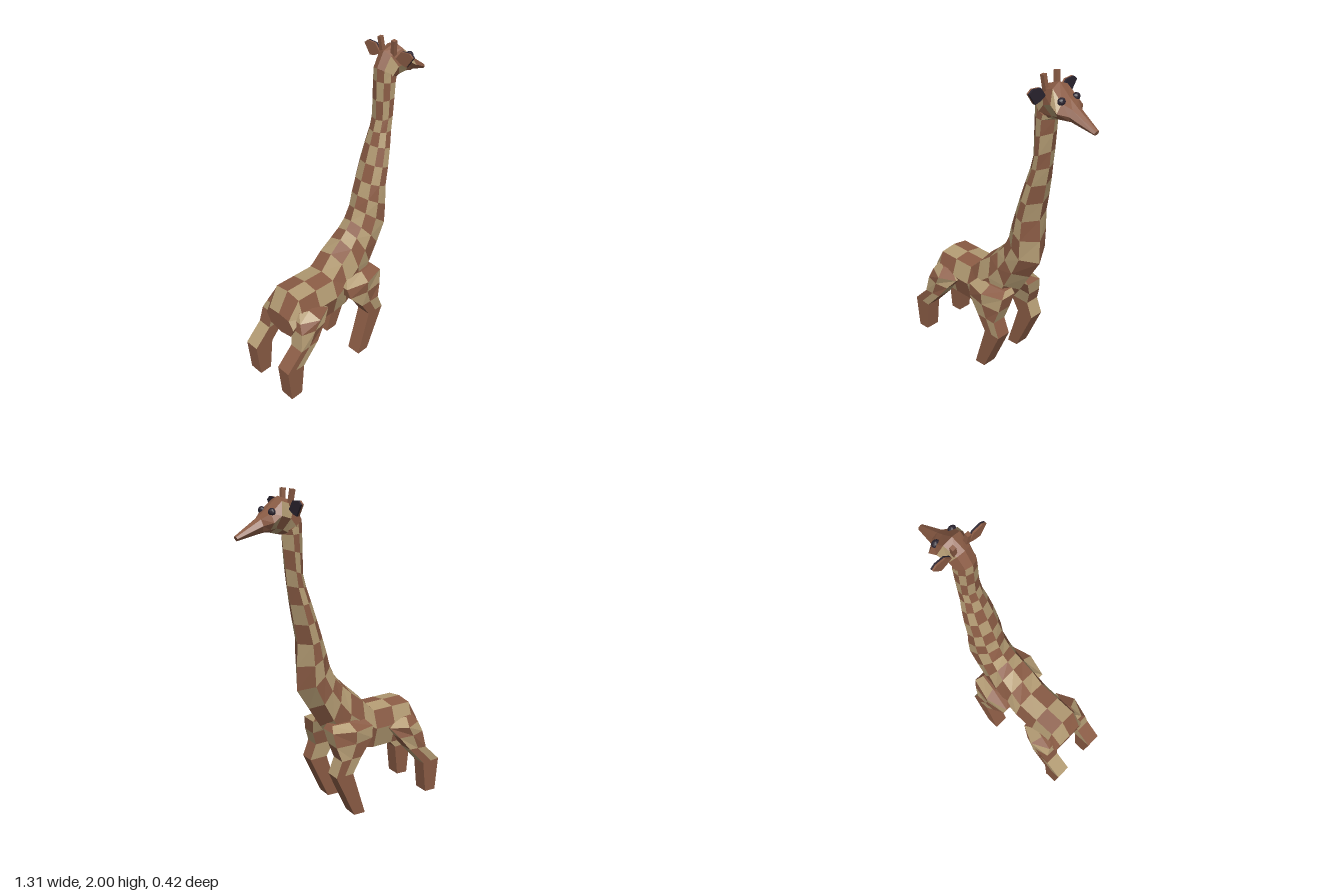
import * as THREE from 'three';

const mat = (color) => new THREE.MeshStandardMaterial({ color, flatShading: true });
const brown = mat(0x8b5c45), tan = mat(0xb39b73), dark = mat(0x2b2430);

// Skin a list of closed rings; isTan(i, j) chooses the colour of each patch.
function patchwork(name, rings, isTan, flip = false) {
  const faces = { Brown: [], Tan: [] };
  const tri = (list, a, b, c) => {
    for (const p of flip ? [a, c, b] : [a, b, c]) list.push(p.x, p.y, p.z);
  };
  const n = rings[0].length;
  for (let i = 0; i < rings.length - 1; i++) {
    for (let j = 0; j < n; j++) {
      const k = (j + 1) % n, list = isTan(i, j) ? faces.Tan : faces.Brown;
      const a = rings[i][j], b = rings[i][k], c = rings[i + 1][k], d = rings[i + 1][j];
      tri(list, a, b, c);
      tri(list, a, c, d);
    }
  }
  // end caps
  const first = rings[0], last = rings[rings.length - 1];
  for (let j = 1; j < n - 1; j++) {
    tri(faces.Brown, first[0], first[j + 1], first[j]);
    tri(faces.Brown, last[0], last[j], last[j + 1]);
  }
  const group = new THREE.Group();
  group.name = name;
  for (const key of ['Brown', 'Tan']) {
    if (!faces[key].length) continue;
    const g = new THREE.BufferGeometry();
    g.setAttribute('position', new THREE.Float32BufferAttribute(faces[key], 3));
    g.computeVertexNormals();
    const mesh = new THREE.Mesh(g, key === 'Tan' ? tan : brown);
    mesh.name = name + key + 'Patches';
    group.add(mesh);
  }
  return group;
}

// Eight-sided section between a top and a bottom point; profile = [depth, width] of one side.
function section([tx, ty, bx, by, w], profile) {
  const at = ([t, s], side) =>
    new THREE.Vector3(tx + (bx - tx) * t, ty + (by - ty) * t, side * s * w);
  return [
    at([0, 0], 1), ...profile.map((p) => at(p, 1)),
    at([1, 0], 1), ...[...profile].reverse().map((p) => at(p, -1)),
  ];
}

const bodyProfile = [[0.05, 0.72], [0.42, 1], [0.87, 0.75]];
const neckProfile = [[0.12, 0.62], [0.38, 0.95], [0.7, 1]];
const headProfile = [[0.12, 0.62], [0.5, 1], [0.85, 0.6]];

// Each row: top x, top y, bottom x, bottom y, half width
const trunk = [
  [-0.55, 0.51, -0.54, 0.36, 0.125], [-0.475, 0.64, -0.48, 0.34, 0.14],
  [-0.34, 0.64, -0.34, 0.34, 0.14], [-0.2, 0.64, -0.2, 0.34, 0.14],
  [-0.12, 0.73, -0.1, 0.34, 0.14], [-0.04, 0.8, 0.03, 0.42, 0.135],
  [0.01, 0.85, 0.13, 0.56, 0.125], [0.05, 0.9, 0.21, 0.69, 0.12],
  [0.08, 0.98, 0.29, 0.82, 0.115], [0.105, 1.06, 0.287, 0.97, 0.115],
  [0.135, 1.15, 0.282, 1.11, 0.107], [0.17, 1.26, 0.302, 1.23, 0.1],
  [0.205, 1.37, 0.323, 1.35, 0.087], [0.23, 1.45, 0.342, 1.46, 0.072],
  [0.25, 1.52, 0.35, 1.56, 0.07], [0.25, 1.64, 0.362, 1.67, 0.07],
  [0.25, 1.76, 0.37, 1.75, 0.07], [0.25, 1.84, 0.38, 1.76, 0.068],
];
const skull = [
  [0.25, 1.84, 0.37, 1.75, 0.068], [0.3, 1.93, 0.4, 1.755, 0.075],
  [0.39, 1.96, 0.44, 1.765, 0.095], [0.465, 1.89, 0.47, 1.77, 0.105],
  [0.51, 1.855, 0.5, 1.765, 0.052], [0.65, 1.762, 0.64, 1.735, 0.02],
];

// Each row: back x, back y, front x, front y, inner z, outer z, outer bulge
const frontLegRows = [
  [-0.07, 0, 0.01, 0.005, 0.105, 0.2, 0], [0.02, 0.29, 0.14, 0.29, 0.105, 0.2, 0],
  [-0.04, 0.39, 0.1, 0.39, 0.105, 0.2, 0], [-0.13, 0.49, 0.13, 0.48, 0.09, 0.185, 0.02],
  [-0.145, 0.56, 0.145, 0.57, 0.06, 0.17, 0.04], [-0.1, 0.61, 0.12, 0.6, 0.06, 0.12, 0.02],
];
const hindLegRows = [
  [-0.64, 0, -0.56, 0.005, 0.105, 0.2, 0], [-0.66, 0.22, -0.535, 0.215, 0.105, 0.2, 0],
  [-0.55, 0.33, -0.42, 0.34, 0.105, 0.2, 0], [-0.53, 0.44, -0.35, 0.43, 0.09, 0.185, 0.02],
  [-0.515, 0.5, -0.29, 0.5, 0.06, 0.155, 0.055], [-0.49, 0.55, -0.37, 0.54, 0.06, 0.12, 0.02],
];

function leg(name, rows, side) {
  const rings = rows.map(([xb, yb, xf, yf, zi, zo, bulge]) => [
    [xb, yb, zo], [(xb + xf) / 2, (yb + yf) / 2, zo + bulge], [xf, yf, zo], [xf, yf, zi], [xb, yb, zi],
  ].map(([x, y, z]) => new THREE.Vector3(x, y, z * side)));
  const shift = side > 0 ? 0 : 1;
  return patchwork(name, rings, (i, j) => i > 0 && (i + j + shift) % 2 === 0, side < 0);
}

function createModel() {
  const model = new THREE.Group();
  model.name = 'giraffe';
  const add = (name, geometry, material, x = 0, y = 0, z = 0) => {
    const mesh = new THREE.Mesh(geometry, material);
    mesh.name = name;
    mesh.position.set(x, y, z);
    model.add(mesh);
    return mesh;
  };

  // body and neck in one chequered skin
  const trunkRings = trunk.map((row, i) => {
    const f = THREE.MathUtils.clamp((i - 3) / 5, 0, 1);
    return section(row, bodyProfile.map((p, k) => p.map((v, m) => v + (neckProfile[k][m] - v) * f)));
  });
  model.add(patchwork('bodyAndNeck', trunkRings, (i, j) => (i + j) % 2 === 1));

  // head and muzzle, patched only at the back and cheeks
  const headRings = skull.map((row) => section(row, headProfile));
  model.add(patchwork('head', headRings, (i, j) => i < 3 && j > 0 && j < 7 && (i + j) % 2 === 1));

  // outline of one ear in the (z, y) plane
  const earOutline = [[0.06, 1.89], [0.1, 1.94], [0.16, 1.945], [0.187, 1.925], [0.14, 1.86], [0.1, 1.87]];

  for (const side of [1, -1]) {
    const tag = side > 0 ? 'left' : 'right';
    model.add(leg(tag + 'FrontLeg', frontLegRows, side), leg(tag + 'HindLeg', hindLegRows, side));

    // ear: dark inside facing forward, brown back
    const shape = new THREE.Shape(earOutline.map(([z, y]) => new THREE.Vector2(-z * side, y)));
    for (const [part, x, m] of [['EarBack', 0.335, brown], ['EarInside', 0.345, dark]]) {
      const g = new THREE.ExtrudeGeometry(shape, { depth: 0.01, bevelEnabled: false });
      g.rotateY(Math.PI / 2);
      add(tag + part, g, m, x);
    }

    // eye
    const eye = add(tag + 'Eye', new THREE.IcosahedronGeometry(0.025, 1), dark, 0.457, 1.882, side * 0.058);
    eye.scale.set(0.8, 0.9, 1);

    // horn, leaning back and outwards
    const horn = add(tag + 'Horn', new THREE.BoxGeometry(0.025, 0.14, 0.025), brown, 0.335, 1.928, side * 0.045);
    horn.rotation.set(side * 0.12, 0, 0.12);
  }
  return model;
}

export { createModel };
